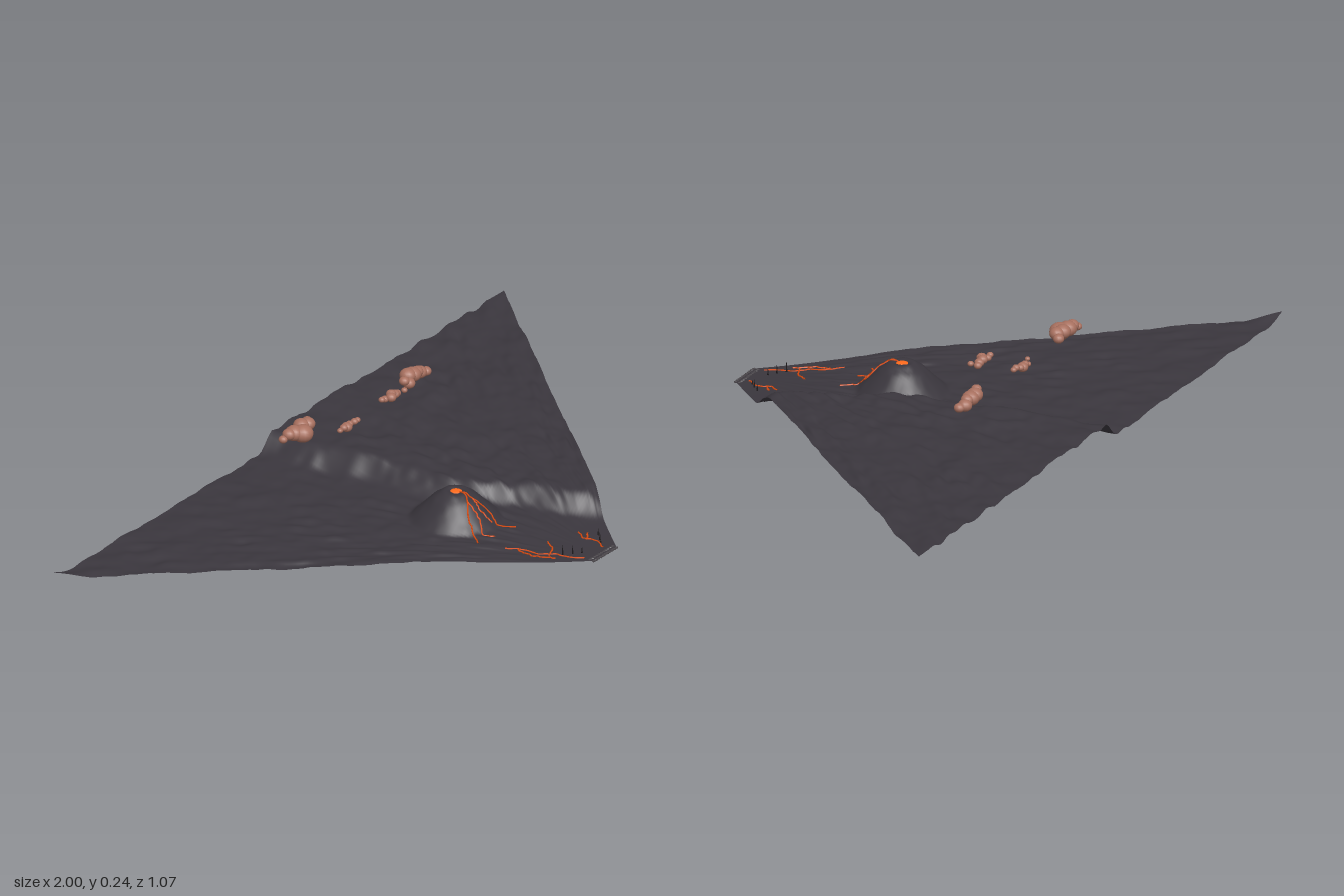
import * as THREE from 'three';

const FRONT = 0.53, BACK = -0.54;
const { smoothstep, lerp } = THREE.MathUtils;
const mat = (color, extra = {}) => new THREE.MeshStandardMaterial({ color, roughness: 0.9, ...extra });

// Half width of the wedge-shaped ground at depth z
const halfWidth = z => lerp(0.05, 1, (FRONT - z) / (FRONT - BACK));

// Smooth value noise from a small integer hash
function hash(i, j) {
  const s = Math.sin(i * 127.1 + j * 311.7) * 43758.5453;
  return s - Math.floor(s);
}
function noise(x, y) {
  const i = Math.floor(x), j = Math.floor(y);
  const u = smoothstep(x - i, 0, 1), v = smoothstep(y - j, 0, 1);
  return lerp(lerp(hash(i, j), hash(i + 1, j), u), lerp(hash(i, j + 1), hash(i + 1, j + 1), u), v) - 0.5;
}

// Piecewise linear lookup through [input, output] pairs
function lookup(table, t) {
  for (let i = 1; i < table.length; i++) {
    const [a, va] = table[i - 1], [b, vb] = table[i];
    if (t <= b) return lerp(va, vb, Math.max(0, (t - a) / (b - a)));
  }
  return table[table.length - 1][1];
}
const CLIFF = [[-0.54, -0.06], [0, 0], [0.1, 0.04], [0.2, 0.1], [0.35, 0.16], [0.45, 0.18]];
const CONE = [[0, 0.088], [0.018, 0.097], [0.032, 0.099], [0.06, 0.08], [0.12, 0.02], [0.16, 0]];
const VENT = [-0.08, 0.1];

// Ground height: lowland, raised plateau on the left, and the volcano
function height(x, z) {
  const cliff = lookup(CLIFF, z) + noise(z * 14, 3) * 0.02;
  const rise = smoothstep(x, cliff - 0.035, cliff + 0.035) * smoothstep(-z, -0.43, -0.32);
  const low = lerp(0.004, 0.018, smoothstep(-z, -0.48, -0.2));
  const rough = smoothstep(-z, -0.5, -0.1) * lerp(0.009, 0.013, rise);
  const u = x / halfWidth(z);
  const bumps = (noise(u * 24 + 50, z * 15 + 30) + 0.5 * noise(x * 38, z * 34)) * rough;
  const ground = lerp(low, 0.064, rise) + bumps + 0.012 * smoothstep(-x, 0.93, 1);
  const r = Math.hypot(x - VENT[0], z - VENT[1]);
  const cone = lookup(CONE, r) + noise(x * 60, z * 60) * 0.003;
  return Math.max(0.001, ground, r < 0.16 ? cone : 0);
}

function makeTerrain() {
  const N = 130;
  const geo = new THREE.PlaneGeometry(2, 1, N, N);
  const p = geo.attributes.position;
  for (let i = 0; i < p.count; i++) {
    const z = lerp(FRONT, BACK, p.getY(i) + 0.5);
    const x = p.getX(i) * halfWidth(z);
    p.setXYZ(i, x, height(x, z), z);
  }
  geo.computeVertexNormals();
  const mesh = new THREE.Mesh(geo, mat(0x3a363d, { side: THREE.DoubleSide }));
  mesh.name = 'terrain';
  return mesh;
}

// Thin molten streams draped over the ground, as [x, z] paths
const STREAMS = [
  [[-0.08, 0.1], [-0.09, 0.14], [-0.12, 0.17], [-0.14, 0.2], [-0.17, 0.24]],
  [[-0.08, 0.12], [-0.075, 0.15], [-0.05, 0.19], [-0.055, 0.22], [-0.03, 0.26]],
  [[-0.1, 0.15], [-0.1, 0.19], [-0.12, 0.22], [-0.11, 0.25]],
  [[-0.075, 0.15], [-0.08, 0.18], [-0.07, 0.21]],
  [[-0.15, 0.31], [-0.12, 0.35], [-0.11, 0.39], [-0.08, 0.43], [-0.07, 0.47], [-0.05, 0.5]],
  [[-0.1, 0.42], [-0.06, 0.4], [-0.04, 0.37]],
  [[-0.13, 0.34], [-0.13, 0.38], [-0.1, 0.44]],
  [[0.06, 0.4], [0.04, 0.43], [0.05, 0.46], [0.03, 0.5]],
  [[0.04, 0.44], [0.07, 0.42]],
];

function makeLava() {
  const group = new THREE.Group();
  group.name = 'lava';
  const lava = mat(0xd84a10, { side: THREE.DoubleSide });
  STREAMS.forEach((path, k) => {
    const flat = new THREE.CatmullRomCurve3(path.map(([x, z]) => new THREE.Vector3(x, 0, z)));
    const pts = flat.getPoints(28).map((q, i) => {
      q.x += 0.006 * noise(i * 0.6, k * 9);
      q.y = height(q.x, q.z) + 0.0005;
      return q;
    });
    const tube = new THREE.TubeGeometry(new THREE.CatmullRomCurve3(pts), 50, 0.0024, 5);
    const mesh = new THREE.Mesh(tube, lava);
    mesh.name = 'lavaStream';
    group.add(mesh);
  });
  const pool = new THREE.Mesh(new THREE.SphereGeometry(0.017, 16, 8), mat(0xff6a1c));
  pool.scale.y = 0.3;
  pool.position.set(VENT[0], 0.094, VENT[1]);
  pool.name = 'craterPool';
  group.add(pool);
  return group;
}

// Ash clouds: a row of overlapping puffs
function makeCloud(x, y, z, width, radius, seed) {
  const group = new THREE.Group();
  group.name = 'ashCloud';
  const ash = mat(0xa8705f);
  const count = 7;
  for (let i = 0; i < count; i++) {
    const t = i / (count - 1) - 0.5;
    const r = radius * (1 - 0.9 * Math.abs(t)) * (0.8 + 0.35 * hash(i, seed));
    const puff = new THREE.Mesh(new THREE.SphereGeometry(r, 14, 10), ash);
    puff.scale.y = 0.85;
    puff.position.set(x + t * (width - radius), y + (hash(i, seed + 5) - 0.5) * radius * 0.6,
      z + (hash(i, seed + 9) - 0.5) * radius * 1.1);
    puff.name = 'puff';
    group.add(puff);
  }
  return group;
}

// Burnt spikes and a row of stones at the narrow front end
function makeForeground() {
  const group = new THREE.Group();
  group.name = 'foreground';
  const charred = mat(0x1d1a1c, { flatShading: true });
  const stone = mat(0x4a464a, { flatShading: true });
  const spikes = [[-0.07, 0.442, 0.028], [0.08, 0.448, 0.018], [-0.05, 0.46, 0.024],
    [0.06, 0.468, 0.022], [-0.03, 0.476, 0.016], [0.045, 0.482, 0.012]];
  for (const [x, z, h] of spikes) {
    const trunk = new THREE.Mesh(new THREE.CylinderGeometry(0.0006, 0.0025, h, 5), charred);
    trunk.position.set(x, height(x, z) + h / 2, z);
    trunk.name = 'burntTrunk';
    group.add(trunk);
  }
  for (let row = 0; row < 2; row++) {
    for (let i = 0; i < 11; i++) {
      const rock = new THREE.Mesh(new THREE.DodecahedronGeometry(0.0055), stone);
      rock.scale.y = 0.55;
      rock.rotation.y = hash(i, row) * 3;
      rock.position.set(-0.05 + i * 0.01, 0.0032, 0.517 + row * 0.012);
      rock.name = 'stone';
      group.add(rock);
    }
  }
  return group;
}

export function createModel() {
  const model = new THREE.Group();
  model.name = 'volcanicLandscape';
  model.add(makeTerrain(), makeLava(), makeForeground());
  const clouds = [
    [-0.23, 0.212, -0.305, 0.14, 0.027],
    [-0.06, 0.17, -0.268, 0.095, 0.014],
    [0.07, 0.222, -0.217, 0.095, 0.015],
    [0.25, 0.192, -0.28, 0.13, 0.025],
  ];
  clouds.forEach((c, i) => model.add(makeCloud(...c, i * 17 + 2)));
  return model;
}
